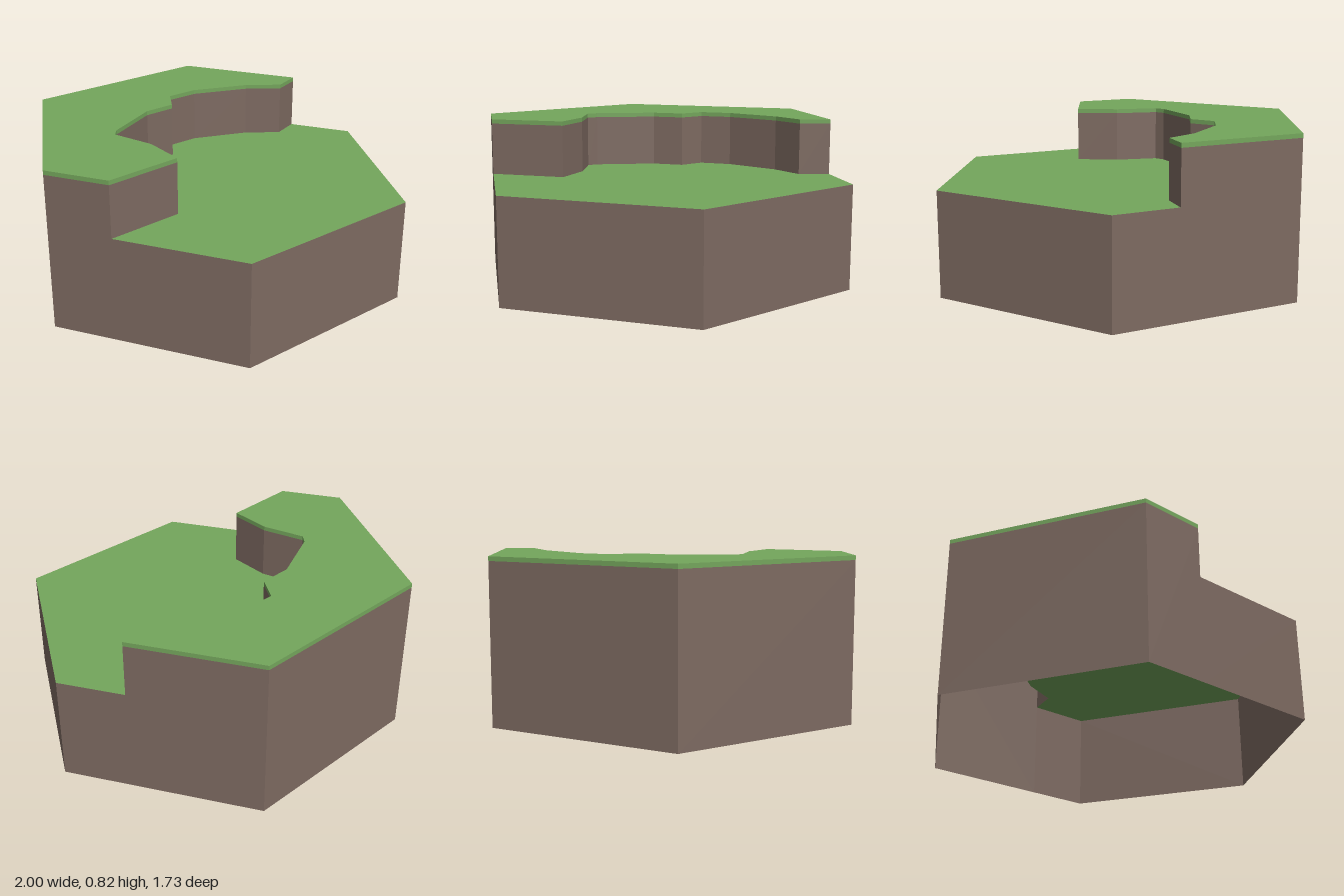
import * as THREE from 'three';

const H = 0.866;         // hexagon half depth
const LOW = 0.535;       // lower terrace height
const BAND = 0.80;       // start of the turf edge
const TOP = 0.822;       // upper terrace height

// Cliff line from front to back, as [x, z]
const cliff = [
  [-0.17, H], [0.01, 0.515], [-0.175, 0.395], [-0.395, 0.34], [-0.415, 0.285],
  [-0.39, -0.03], [-0.31, -0.175], [-0.375, -0.30], [-0.29, -0.445],
  [-0.05, -0.635], [0.13, -0.71], [0.16, -H],
];
const front = cliff[0];
const back = cliff[cliff.length - 1];

// Hexagon rim on each side of the cliff
const highRim = [back, [-0.5, -H], [-1, 0], [-0.5, H], front];
const lowRim = [front, [0.5, H], [1, 0], [0.5, -H], back];

const material = (color) =>
  new THREE.MeshStandardMaterial({ color, flatShading: true, side: THREE.DoubleSide });

// Vertical strip of flat quads along a path
function wall(path, y0, y1) {
  const pos = [];
  for (let i = 0; i < path.length - 1; i++) {
    const [ax, az] = path[i];
    const [bx, bz] = path[i + 1];
    pos.push(ax, y0, az, bx, y0, bz, bx, y1, bz);
    pos.push(ax, y0, az, bx, y1, bz, ax, y1, az);
  }
  const g = new THREE.BufferGeometry();
  g.setAttribute('position', new THREE.Float32BufferAttribute(pos, 3));
  g.computeVertexNormals();
  return g;
}

// Horizontal surface filling an outline
function cap(outline, y) {
  const shape = new THREE.Shape(outline.map(([x, z]) => new THREE.Vector2(x, -z)));
  return new THREE.ShapeGeometry(shape).rotateX(-Math.PI / 2).translate(0, y, 0);
}

export function createModel() {
  const group = new THREE.Group();
  group.name = 'hexTerrainTile';
  const earth = material(0x7d6a61);
  const grass = material(0x74a65c);

  const add = (name, geometry, mat) => {
    const mesh = new THREE.Mesh(geometry, mat);
    mesh.name = name;
    group.add(mesh);
  };

  // Earth sides, open underneath
  add('lowerEarthWall', wall(lowRim, 0, LOW), earth);
  add('upperEarthWall', wall(highRim, 0, BAND), earth);
  add('cliffFace', wall(cliff, LOW, BAND), earth);

  // Grass surfaces and the thin turf edge around the upper terrace
  add('lowerGrass', cap([...lowRim, ...cliff.slice(1, -1).reverse()], LOW), grass);
  add('upperGrass', cap([...highRim, ...cliff.slice(1, -1)], TOP), grass);
  add('turfEdge', wall([...highRim, ...cliff.slice(1)], BAND, TOP), grass);

  return group;
}
